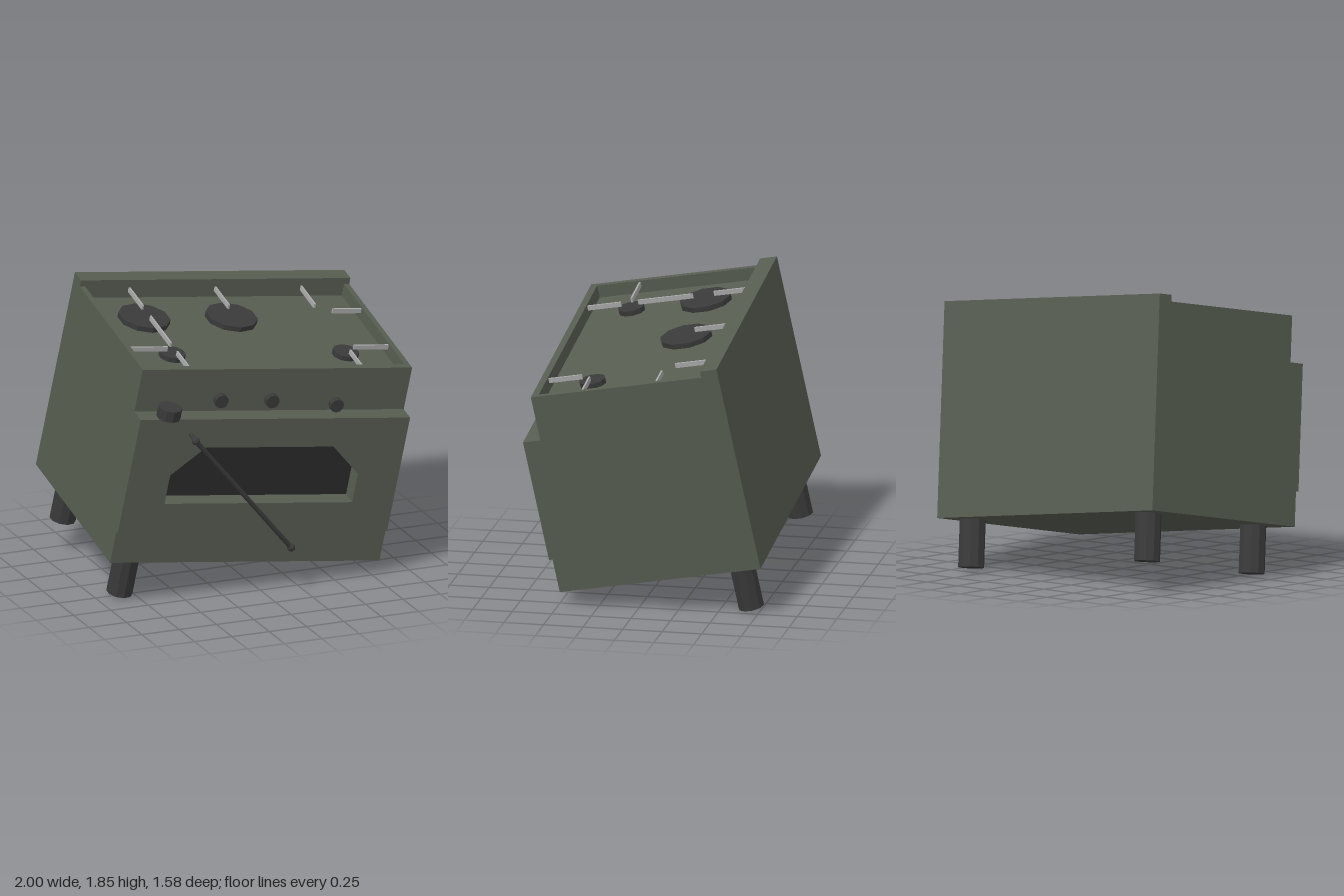
import * as THREE from 'three';

const mat = (color) => new THREE.MeshStandardMaterial({ color, flatShading: true });

export function createModel() {
  const model = new THREE.Group();
  model.name = 'brokenStove';
  const enamel = mat(0x575d51), iron = mat(0x3a3a3a), glass = mat(0x2a2a2a), steel = mat(0xaaaaaa);

  const add = (name, geometry, material, x = 0, y = 0, z = 0) => {
    const mesh = new THREE.Mesh(geometry, material);
    mesh.name = name;
    mesh.position.set(x, y, z);
    model.add(mesh);
    return mesh;
  };
  // Box given by its lower and upper limits
  const box = (name, material, x0, x1, y0, y1, z0, z1) =>
    add(name, new THREE.BoxGeometry(x1 - x0, y1 - y0, z1 - z0), material,
      (x0 + x1) / 2, (y0 + y1) / 2, (z0 + z1) / 2);
  const disc = (r, h, sides = 10) => new THREE.CylinderGeometry(r, r, h, sides);
  // Rod between two points
  const rod = (name, a, b, r) => {
    const dir = b.clone().sub(a);
    const mesh = add(name, disc(r, dir.length(), 8), iron);
    mesh.position.copy(a).addScaledVector(dir, 0.5);
    mesh.quaternion.setFromUnitVectors(new THREE.Vector3(0, 1, 0), dir.normalize());
  };

  const W = 0.908, back = -0.648, front = 0.561, floorY = 1.225, rimY = 1.305;

  // Cabinet, drawer and raised edges around the hob
  box('cabinet', enamel, -W, W, 0, floorY, back, front);
  box('drawer', enamel, -W, W, 0, 0.22, front, 0.65);
  box('backguard', enamel, -W, W, floorY, 1.347, back, -0.54);
  box('frontRim', enamel, -W, W, floorY, rimY, front - 0.045, front);
  for (const s of [-1, 1]) {
    const a = s * W, b = s * (W - 0.035);
    box('sideRim', enamel, Math.min(a, b), Math.max(a, b), floorY, rimY, -0.54, front - 0.045);
  }

  // Oven door with a six-sided window opening
  const door = new THREE.Shape([[-W, 0.22], [W, 0.22], [W, 1.014], [-W, 1.014]]
    .map(([x, y]) => new THREE.Vector2(x, y)));
  const opening = [[-0.633, 0.423], [-0.633, 0.622], [-0.43, 0.815], [0.43, 0.815], [0.633, 0.622], [0.633, 0.423]]
    .map(([x, y]) => new THREE.Vector2(x, y));
  door.holes.push(new THREE.Path(opening));
  add('ovenDoor', new THREE.ExtrudeGeometry(door, { depth: 0.112, bevelEnabled: false }), enamel, 0, 0, front);
  add('ovenWindow', new THREE.ShapeGeometry(new THREE.Shape(opening)), glass, 0, 0, front + 0.004);

  // Door handle hanging from one end
  const ends = [new THREE.Vector3(-0.551, 0.91, 0.762), new THREE.Vector3(0.239, 0.157, 0.762)];
  rod('handleBar', ends[0], ends[1], 0.015);
  for (const e of ends) {
    add('handleKnuckle', new THREE.SphereGeometry(0.026, 10, 8), iron, e.x, e.y, e.z);
    rod('handlePost', e, new THREE.Vector3(e.x, e.y, 0.66), 0.013);
  }

  // Control knobs, one fallen off onto the door ledge
  for (const [x, y] of [[-0.348, 1.097], [-0.004, 1.093], [0.436, 1.06]])
    add('knob', disc(0.045, 0.06), iron, x, y, front + 0.01).rotation.x = Math.PI / 2;
  add('fallenKnob', disc(0.076, 0.072), iron, -0.71, 1.05, 0.64);

  // Burners
  for (const [x, z, r] of [[-0.58, -0.237, 0.165], [0.008, -0.237, 0.165], [-0.575, 0.242, 0.084], [0.594, 0.242, 0.084]])
    add('burner', disc(r, 0.032), iron, x, floorY + 0.016, z);

  // Remaining pan supports: along the depth, then along the width
  for (const [x, z0, z1] of [[-0.572, -0.54, -0.3], [0.008, -0.54, -0.3], [0.588, -0.54, -0.3],
    [-0.572, -0.165, 0.19], [-0.572, 0.3, 0.52], [0.594, 0.3, 0.52]])
    box('panSupport', steel, x - 0.006, x + 0.006, 1.266, 1.296, z0, z1);
  for (const [x0, x1, z] of [[0.68, 0.875, -0.235], [-0.875, -0.615, 0.242], [0.64, 0.875, 0.242]])
    box('panSupport', steel, x0, x1, 1.266, 1.296, z - 0.006, z + 0.006);

  // Three legs; the front left one is missing
  for (const [x, z] of [[-0.72, 0.475], [-0.73, -0.49], [0.752, -0.492]])
    add('leg', disc(0.082, 0.3), iron, x, -0.149, z);

  // Lean the whole stove toward the missing leg
  const up = new THREE.Vector3(0.119, 0.976, 0.182).normalize();
  const side = new THREE.Vector3(0.993, -0.121, 0.003);
  const fwd = side.clone().cross(up).normalize();
  side.crossVectors(up, fwd);
  model.quaternion.setFromRotationMatrix(new THREE.Matrix4().makeBasis(side, up, fwd));
  model.position.set(-0.082, 0.313, -0.151);

  const root = new THREE.Group();
  root.name = 'stove';
  root.add(model);
  return root;
}
